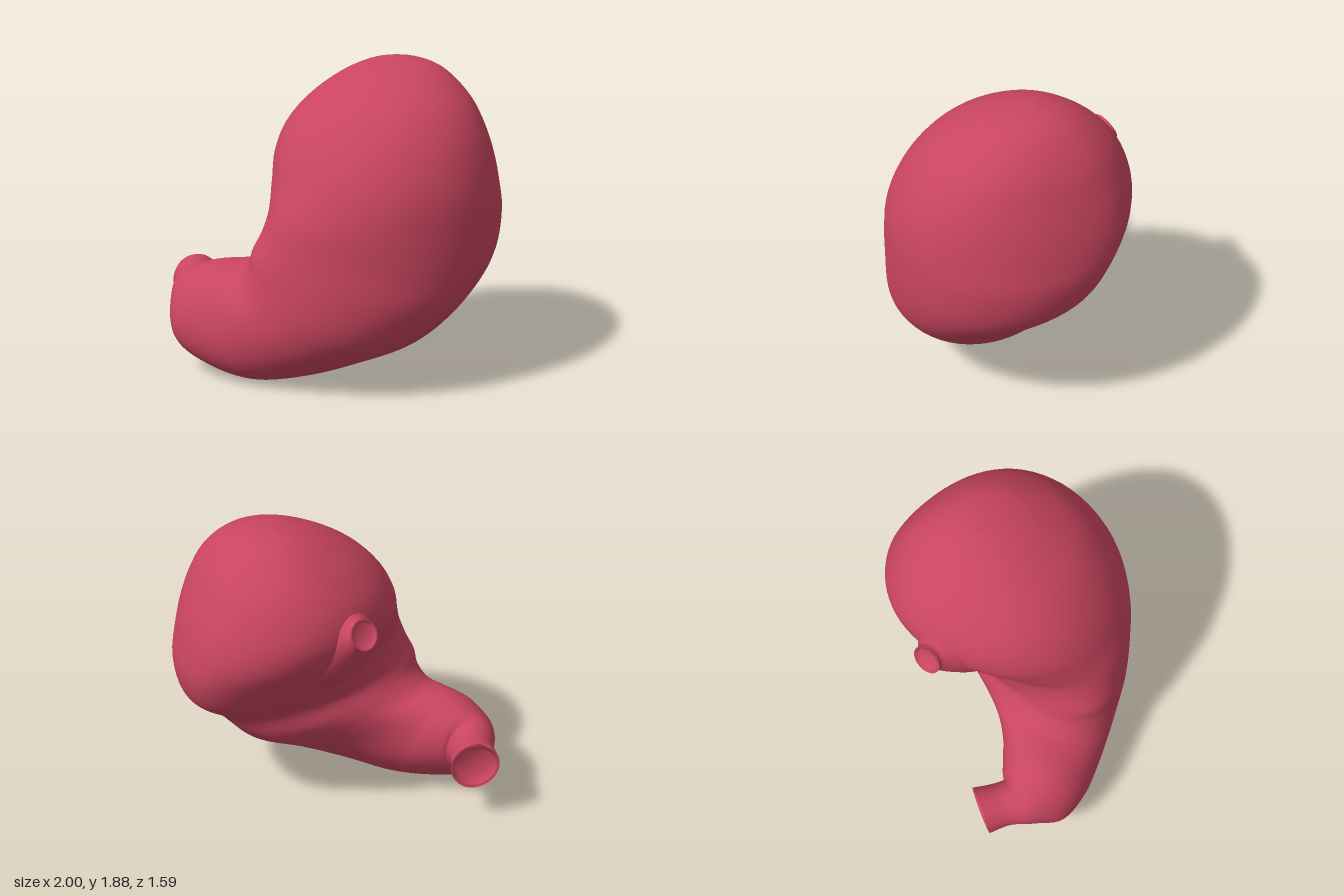
import * as THREE from 'three';

const material = new THREE.MeshStandardMaterial({ color: 0xc9455f, roughness: 0.6, side: THREE.DoubleSide });

// Cross-sections from the dome down to the outlet:
// inner x,y | outer x,y | front z, back z | sideways turn of the depth axis
const SECTIONS = [
  [0.249, 1.877, 0.251, 1.877, -0.229, -0.231, 0],
  [0.12, 1.85, 0.44, 1.86, -0.07, -0.37, 0],
  [-0.02, 1.785, 0.59, 1.81, 0.1, -0.49, 0],
  [-0.19, 1.65, 0.78, 1.66, 0.34, -0.63, 0],
  [-0.3, 1.5, 0.885, 1.5, 0.49, -0.71, 0],
  [-0.335, 1.35, 0.945, 1.34, 0.59, -0.765, 0],
  [-0.295, 1.2, 0.98, 1.18, 0.66, -0.79, 0],
  [-0.215, 1.04, 0.995, 1.0, 0.72, -0.77, 0],
  [-0.205, 0.92, 0.97, 0.75, 0.745, -0.68, 0],
  [-0.23, 0.82, 0.87, 0.52, 0.765, -0.46, 0],
  [-0.28, 0.74, 0.67, 0.3, 0.78, -0.33, 0],
  [-0.36, 0.68, 0.4, 0.17, 0.785, -0.11, 0],
  [-0.45, 0.67, 0.1, 0.06, 0.79, 0.07, 0],
  [-0.53, 0.665, -0.2, 0.0, 0.785, 0.18, 0],
  [-0.6, 0.65, -0.46, 0.035, 0.77, 0.23, -0.02],
  [-0.68, 0.62, -0.69, 0.12, 0.7, 0.27, -0.05],
  [-0.75, 0.59, -0.75, 0.22, 0.56, 0.28, -0.09],
  [-0.81, 0.565, -0.81, 0.275, 0.42, 0.23, -0.1],
  [-0.89, 0.58, -0.89, 0.26, 0.32, 0.12, -0.11],
];

// Asymmetry of each section: slant (front inward, back outward), bend (front and back
// both inward), swing (outer edge forward, inner edge back), push (both edges forward)
const SKEWS = [
  [0, 0, 0, 0], [0, -0.01, 0, 0], [-0.01, -0.03, 0.02, 0], [-0.01, -0.05, 0.04, 0], [-0.015, -0.06, 0.05, 0],
  [-0.02, -0.065, 0.05, 0], [-0.035, -0.08, 0.04, 0.01], [-0.07, -0.1, 0, 0.03], [-0.11, -0.09, -0.01, 0.06],
  [-0.12, -0.06, -0.01, 0.08], [-0.08, -0.02, 0, 0.06], [-0.06, 0, 0.03, 0.02], [-0.05, 0, 0.05, 0],
  [-0.05, 0, 0.07, 0], [-0.03, 0, 0.07, 0], [0, 0, 0.05, 0], [0, 0, 0, 0], [0, 0, 0, 0], [0, 0, 0, 0],
];

const power = (t, e) => Math.sign(t) * Math.abs(t) ** e;

// Point of one cross-section at the angle a: fuller in front, more pointed behind
function sectionPoint([ax, ay, bx, by, zf, zb, turn], [slant, bend, swing, push], a) {
  const s = power(Math.sin(a), 0.96), c = power(Math.cos(a), s < 0 ? 1.13 : 0.96);
  const along = c / 2 + (slant * s + bend * s * s) / Math.hypot(bx - ax, by - ay);
  return new THREE.Vector3(
    (ax + bx) / 2 + (bx - ax) * along + turn * s,
    (ay + by) / 2 + (by - ay) * along,
    (zf + zb) / 2 + ((zf - zb) / 2) * s + swing * c + push * c * c,
  );
}

// Smooth skin through the cross-sections, closed around each ring
function skin(sides, steps) {
  const positions = [], index = [];
  const rails = Array.from({ length: sides }, (_, j) => new THREE.CatmullRomCurve3(
    SECTIONS.map((section, i) => sectionPoint(section, SKEWS[i], (j / sides) * Math.PI * 2))));
  for (let i = 0; i <= steps; i++) {
    for (let j = 0; j < sides; j++) {
      const p = rails[j].getPoint(i / steps);
      positions.push(p.x, p.y, p.z);
      if (i === steps) continue;
      const a = i * sides + j, b = i * sides + ((j + 1) % sides);
      index.push(a, b, a + sides, b, b + sides, a + sides);
    }
  }
  // close the tiny ring at the dome
  for (let j = 1; j < sides - 1; j++) index.push(0, j + 1, j);
  const geometry = new THREE.BufferGeometry();
  geometry.setAttribute('position', new THREE.Float32BufferAttribute(positions, 3));
  geometry.setIndex(index);
  geometry.computeVertexNormals();
  return geometry;
}

// Round part turned about an axis; profile is [radius, distance along axis]
function turned(name, profile, origin, axis) {
  const points = profile.map(([r, h]) => new THREE.Vector2(r, h));
  const mesh = new THREE.Mesh(new THREE.LatheGeometry(points, 40), material);
  mesh.name = name;
  mesh.position.set(...origin);
  mesh.quaternion.setFromUnitVectors(new THREE.Vector3(0, 1, 0), new THREE.Vector3(...axis).normalize());
  return mesh;
}

export function createModel() {
  const group = new THREE.Group();
  group.name = 'stomach';

  const body = new THREE.Mesh(skin(72, 144), material);
  body.name = 'body';
  group.add(body);

  // inlet: short flared neck blending into the upper body
  const inlet = [-0.405, 1.42, -0.285], inletAxis = [-0.86, 0.42, -0.28];
  const flare = new THREE.SplineCurve([[0.31, -0.42], [0.25, -0.27], [0.175, -0.15], [0.115, -0.07], [0.088, -0.03], [0.09, 0]]
    .map(([r, h]) => new THREE.Vector2(r, h))).getPoints(24).map((p) => [p.x, p.y]);
  group.add(turned('inletNeck', flare, inlet, inletAxis));
  group.add(turned('inletBore', [[0, -0.03], [0.072, -0.03], [0.076, 0], [0.09, 0]], inlet, inletAxis));

  // outlet: recessed opening at the lower end
  group.add(turned('outletBore', [[0, -0.06], [0.122, -0.06], [0.13, 0], [0.152, 0]], [-0.89, 0.42, 0.22], [-0.67, 0, -0.74]));

  return group;
}
